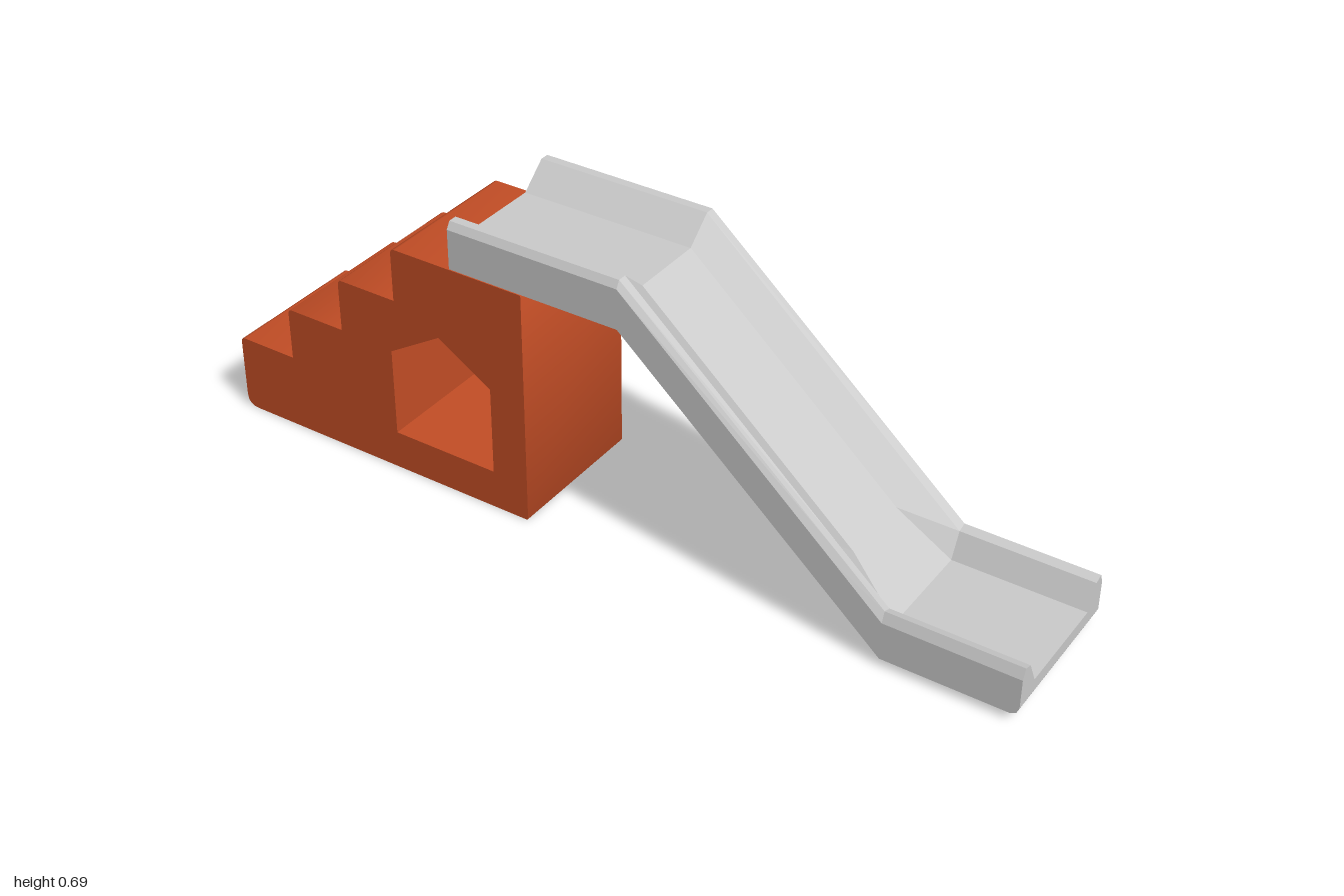
import * as THREE from 'three';
import { toCreasedNormals } from 'three/addons/utils/BufferGeometryUtils.js';

const HALF = 0.183;

// Closed outline whose corners [x, y, radius] are rounded where radius > 0
function roundedShape(corners) {
  const shape = new THREE.Shape();
  const n = corners.length;
  corners.forEach(([x, y, r = 0], i) => {
    const p = new THREE.Vector2(x, y);
    const toward = ([cx, cy]) => new THREE.Vector2(cx, cy).sub(p).setLength(r).add(p);
    const a = toward(corners[(i + n - 1) % n]);
    const b = toward(corners[(i + 1) % n]);
    if (i === 0) shape.moveTo(a.x, a.y);
    else shape.lineTo(a.x, a.y);
    if (r > 0) shape.quadraticCurveTo(x, y, b.x, b.y);
  });
  shape.closePath();
  return shape;
}

// Stair block: stepped side profile with a house-shaped opening
function stairGeometry() {
  const corners = [[-1, 0, 0.03], [-0.185, 0, 0.005], [-0.185, 0.578, 0.005]];
  for (let i = 3; i >= 0; i--) {
    const left = -1 + i * 0.157;
    corners.push([left, 0.187 + i * 0.1303, 0.012]);
    if (i > 0) corners.push([left, 0.187 + (i - 1) * 0.1303]);
  }
  const shape = roundedShape(corners);
  shape.holes.push(new THREE.Path([
    [-0.545, 0.095], [-0.545, 0.312], [-0.41, 0.395], [-0.275, 0.312], [-0.275, 0.095],
  ].map(([x, y]) => new THREE.Vector2(x, y))));
  const geometry = new THREE.ExtrudeGeometry(shape, { depth: 2 * HALF, bevelEnabled: false, curveSegments: 4 });
  geometry.translate(0, 0, -HALF);
  return toCreasedNormals(geometry, 0.6);
}

// Slide: a trough cross-section lofted along x
function slideGeometry() {
  // x, underside, floor, floor half width, outer edge, lip top, lip inner edge
  const sections = [
    [-0.37, 0.58, 0.637, 0.09, 0.675, 0.692, 0.692],
    [0.055, 0.58, 0.637, 0.09, 0.675, 0.692, 0.692],
    [0.57, 0.126, 0.18, 0.09, 0.219, 0.241, 0.235],
    [0.69, 0.02, 0.072, 0.123, 0.112, 0.136, 0.129],
    [0.98, 0.02, 0.072, 0.123, 0.112, 0.136, 0.129],
    [0.994, 0.026, 0.072, 0.123, 0.112, 0.136, 0.129],
    [1, 0.041, 0.072, 0.123, 0.112, 0.136, 0.129],
  ];
  const positions = [];
  const index = [];
  for (const [x, under, floor, floorHalf, outer, top, inner] of sections) {
    const half = [[HALF, under], [HALF, outer], [0.173, top], [0.152, inner], [floorHalf, floor]];
    const ring = [...half, ...half.map(([z, y]) => [-z, y]).reverse()];
    for (const [z, y] of ring) positions.push(x, y, z);
  }
  const n = 10;
  const last = (sections.length - 1) * n;
  for (let s = 0; s < last; s += n) {
    for (let j = 0; j < n; j++) {
      const a = s + j, b = s + (j + 1) % n;
      index.push(a, a + n, b + n, a, b + n, b);
    }
  }
  // End caps
  const cap = [[0, 1, 2], [0, 2, 3], [0, 3, 4], [0, 4, 5], [0, 5, 9], [9, 5, 6], [9, 6, 7], [9, 7, 8]];
  for (const [a, b, c] of cap) index.push(a, b, c, last + a, last + c, last + b);

  const indexed = new THREE.BufferGeometry();
  indexed.setAttribute('position', new THREE.Float32BufferAttribute(positions, 3));
  indexed.setIndex(index);
  const geometry = indexed.toNonIndexed();
  geometry.computeVertexNormals();
  return geometry;
}

export function createModel() {
  const group = new THREE.Group();
  group.name = 'playSlide';

  const stairs = new THREE.Mesh(stairGeometry(), new THREE.MeshStandardMaterial({ color: 0xc44e26 }));
  stairs.name = 'stairs';

  const slide = new THREE.Mesh(slideGeometry(), new THREE.MeshStandardMaterial({ color: 0xcccccc, flatShading: true }));
  slide.name = 'slide';

  group.add(stairs, slide);
  return group;
}
